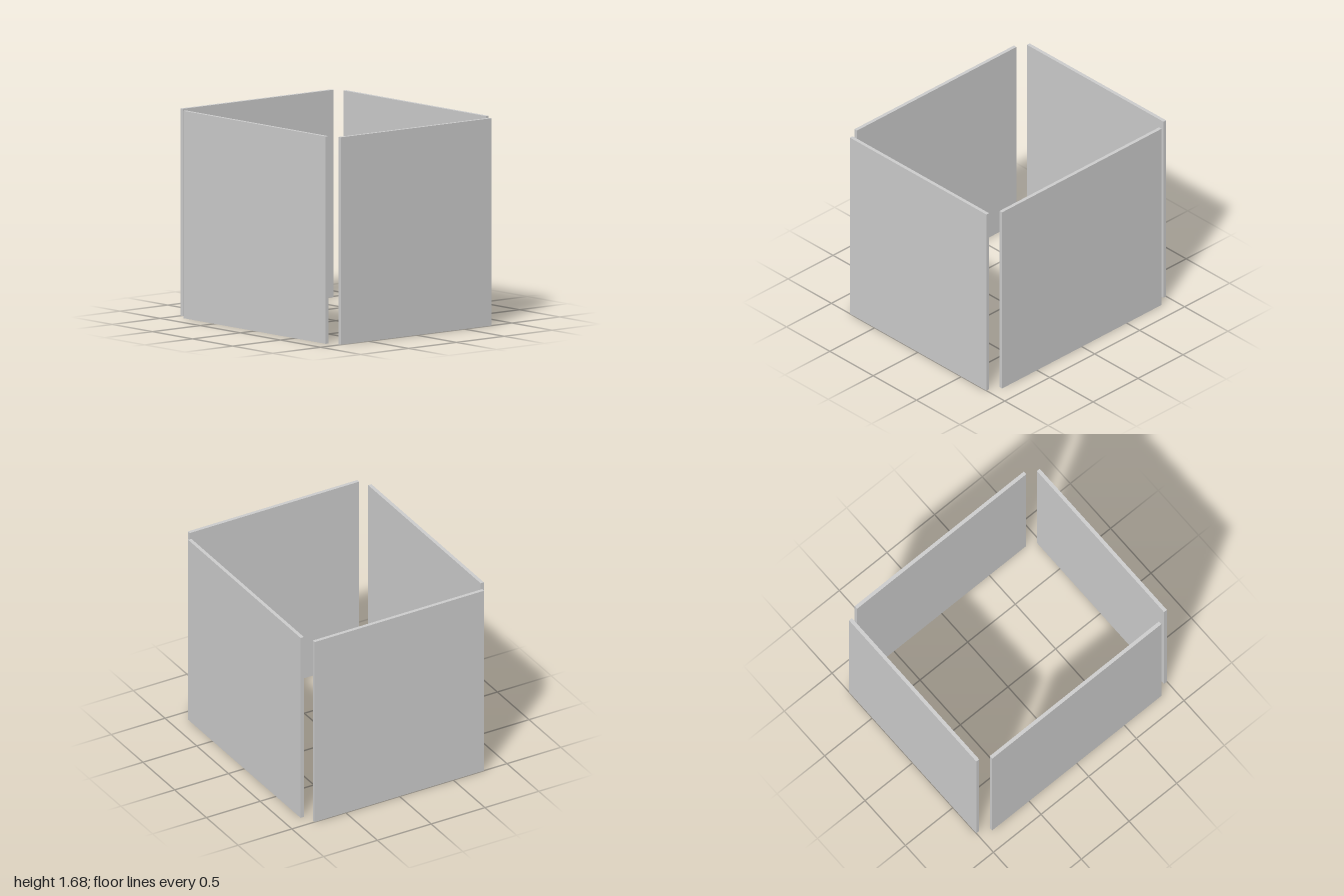
import * as THREE from 'three';

const HEIGHT = 1.68;
const THICKNESS = 0.03;

export function createModel() {
  const model = new THREE.Group();
  model.name = 'panelEnclosure';
  const material = new THREE.MeshStandardMaterial({ color: 0xcccccc, flatShading: true });

  // Upright panel standing on the ground
  function addPanel(name, width, depth, x, z) {
    const panel = new THREE.Mesh(new THREE.BoxGeometry(width, HEIGHT, depth), material);
    panel.name = name;
    panel.position.set(x, HEIGHT / 2, z);
    model.add(panel);
  }

  // Opposite pairs of panels, with open gaps at the corners
  for (const side of [1, -1]) {
    addPanel(side > 0 ? 'frontPanel' : 'backPanel', 1.774, THICKNESS, 0, side * 0.837);
    addPanel(side > 0 ? 'leftPanel' : 'rightPanel', THICKNESS, 1.576, side * (1 - THICKNESS / 2), 0);
  }
  return model;
}
